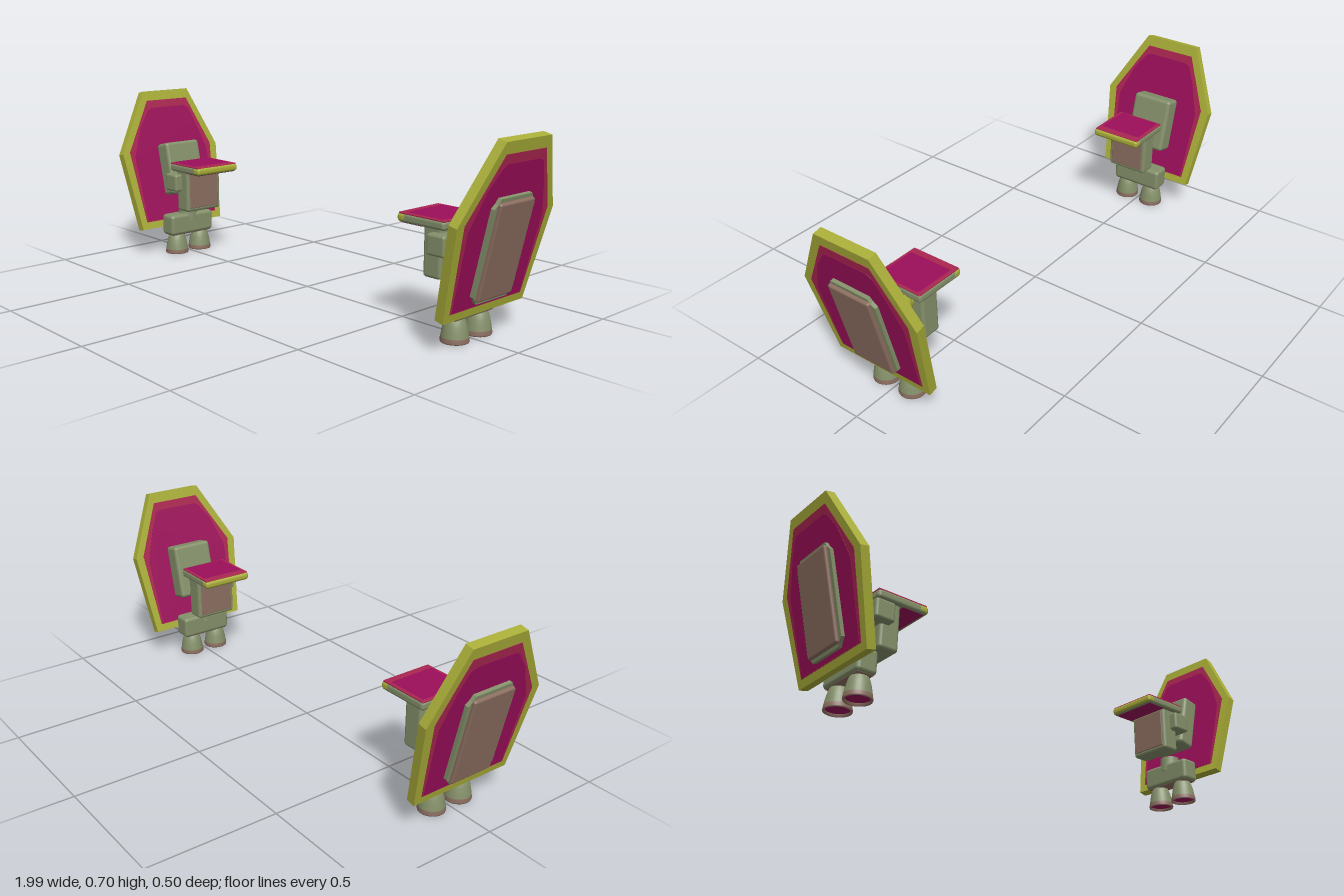
import * as THREE from 'three';
import { RoundedBoxGeometry } from 'three/addons/geometries/RoundedBoxGeometry.js';

const material = (name, color, side = THREE.FrontSide) => {
  const m = new THREE.MeshStandardMaterial({ color, side });
  m.name = name;
  return m;
};

export function createModel() {
  const olive = material('olive yellow', 0xa9ae38);
  const magenta = material('magenta', 0x9c0e5a);
  const crimson = material('crimson', 0xaa2650);
  const sage = material('sage grey', 0x84906a, THREE.DoubleSide);
  const mauve = material('mauve brown', 0x8c6e60);

  const add = (parent, name, geo, mat, x = 0, y = 0, z = 0) => {
    const mesh = new THREE.Mesh(geo, mat);
    mesh.name = name;
    mesh.position.set(x, y, z);
    parent.add(mesh);
    return mesh;
  };
  // Rounded box given by its min and max corners
  const box = (parent, name, mat, [x0, x1], [y0, y1], [z0, z1], r = 0.01) =>
    add(parent, name, new RoundedBoxGeometry(x1 - x0, y1 - y0, z1 - z0, 2, r), mat,
      (x0 + x1) / 2, (y0 + y1) / 2, (z0 + z1) / 2);
  // Upright slab from [z, height] points, thickness running along x from x0 to x1
  const slab = (points, x0, x1) => {
    const shape = new THREE.Shape(points.map(([z, y]) => new THREE.Vector2(-z, y)));
    return new THREE.ExtrudeGeometry(shape, { depth: x1 - x0, bevelEnabled: false })
      .rotateY(Math.PI / 2).translate(x0, 0, 0);
  };

  const unit = new THREE.Group();
  unit.name = 'leftUnit';

  // Shield, leaning outward at the top
  const shield = new THREE.Group();
  shield.name = 'shield';
  shield.position.set(0.841, 0.11, 0);
  shield.rotation.z = -0.232;
  unit.add(shield);
  const rim = [[0.21, 0], [0.25, 0.338], [0.1, 0.602], [-0.135, 0.602], [-0.25, 0.338], [-0.21, 0]];
  const border = [[0.185, 0.03], [0.215, 0.342], [0.087, 0.56], [-0.122, 0.56], [-0.215, 0.342], [-0.185, 0.03]];
  const field = [[0.178, 0.034], [0.192, 0.32], [0.14, 0.45], [0.09, 0.517], [0.07, 0.527],
    [-0.1, 0.527], [-0.12, 0.517], [-0.15, 0.45], [-0.192, 0.32], [-0.178, 0.034]];
  add(shield, 'shieldRim', slab(rim, -0.017, 0.017), olive);
  for (const [side, s] of [['Outer', 1], ['Inner', -1]]) {
    const at = (pts, h) => s > 0 ? slab(pts, 0.015, 0.017 + h) : slab(pts, -0.017 - h, -0.015);
    add(shield, 'shieldBorder' + side, at(border, 0.0015), crimson);
    add(shield, 'shieldField' + side, at(field, 0.003), magenta);
  }

  // Raised block on the outside of the shield
  const block = [[0.08, 0.05], [0.09, 0.065], [0.105, 0.08], [0.105, 0.385], [0.09, 0.4], [0.08, 0.418]];
  const octagon = [...block, ...block.map(([z, y]) => [-z, y]).reverse()];
  add(shield, 'outerBlock', slab(octagon, 0.015, 0.034), sage);
  box(shield, 'outerBlockPanel', mauve, [0.02, 0.046], [0.062, 0.405], [-0.09, 0.09], 0.008);

  // Mount on the inside of the shield
  box(shield, 'shieldMount', sage, [-0.095, -0.017], [0.135, 0.362], [-0.1, 0.075], 0.014);

  // Swivel joint between mount and arm block
  add(unit, 'jointPin', new THREE.CylinderGeometry(0.03, 0.03, 0.13, 20).rotateZ(Math.PI / 2), olive, 0.765, 0.345, -0.02);
  add(unit, 'jointBall', new THREE.SphereGeometry(0.042, 20, 14), olive, 0.775, 0.345, -0.02);

  // Arm block with its facing panel and front lug
  box(unit, 'armBlock', sage, [0.663, 0.74], [0.2, 0.385], [-0.088, 0.088], 0.012);
  box(unit, 'armBlockPanel', mauve, [0.66, 0.668], [0.215, 0.37], [-0.074, 0.074], 0.003);
  box(unit, 'frontLug', sage, [0.702, 0.78], [0.288, 0.362], [0.03, 0.12], 0.01);

  // Flat top plate
  box(unit, 'topPlate', sage, [0.562, 0.765], [0.373, 0.407], [-0.105, 0.105], 0.012);
  box(unit, 'topPlateEdge', olive, [0.559, 0.6], [0.375, 0.406], [-0.106, 0.106], 0.012);
  box(unit, 'topPlateBorder', crimson, [0.566, 0.763], [0.402, 0.409], [-0.102, 0.102], 0.003);
  box(unit, 'topPlateField', magenta, [0.595, 0.755], [0.404, 0.411], [-0.09, 0.09], 0.003);
  box(unit, 'topPlateUnderside', magenta, [0.575, 0.66], [0.371, 0.378], [-0.094, 0.094], 0.003);

  // Thruster housing
  box(unit, 'thrusterHousing', sage, [0.75, 0.828], [0.083, 0.172], [-0.11, 0.11], 0.014);
  box(unit, 'housingUnderside', mauve, [0.758, 0.82], [0.081, 0.088], [-0.1, 0.1], 0.003);
  add(unit, 'housingCap', new THREE.CylinderGeometry(0.038, 0.042, 0.06, 24), sage, 0.788, 0.172, 0);

  // Two bell nozzles
  const bell = [[0.028, 0.086], [0.035, 0.075], [0.041, 0.055], [0.045, 0.035], [0.048, 0.017]]
    .reverse().map(([r, y]) => new THREE.Vector2(r, y));
  const lip = [[0.043, 0.012], [0.045, 0], [0.049, 0], [0.05, 0.004], [0.048, 0.018]]
    .map(([r, y]) => new THREE.Vector2(r, y));
  for (const z of [-0.061, 0.061]) {
    add(unit, 'nozzleBell', new THREE.LatheGeometry(bell, 28), sage, 0.788, 0, z);
    add(unit, 'nozzleLip', new THREE.LatheGeometry(lip, 28), mauve, 0.788, 0, z);
    add(unit, 'nozzleInside', new THREE.CircleGeometry(0.046, 28).rotateX(Math.PI / 2), magenta, 0.788, 0.01, z);
  }

  const model = new THREE.Group();
  model.name = 'shieldPair';
  model.add(unit, mirrored(unit));
  return model;
}

// Copy of a group reflected in x, with the winding restored
function mirrored(source) {
  const copy = new THREE.Group();
  copy.name = 'rightUnit';
  source.updateMatrixWorld(true);
  source.traverse((o) => {
    if (!o.isMesh) return;
    const geo = (o.geometry.index ? o.geometry.toNonIndexed() : o.geometry.clone())
      .applyMatrix4(o.matrixWorld).scale(-1, 1, 1);
    for (const { array, itemSize: n } of Object.values(geo.attributes)) {
      for (let i = 0; i < array.length; i += 3 * n) {
        for (let k = 0; k < n; k++) {
          [array[i + n + k], array[i + 2 * n + k]] = [array[i + 2 * n + k], array[i + n + k]];
        }
      }
    }
    const mesh = new THREE.Mesh(geo, o.material);
    mesh.name = o.name;
    copy.add(mesh);
  });
  return copy;
}
